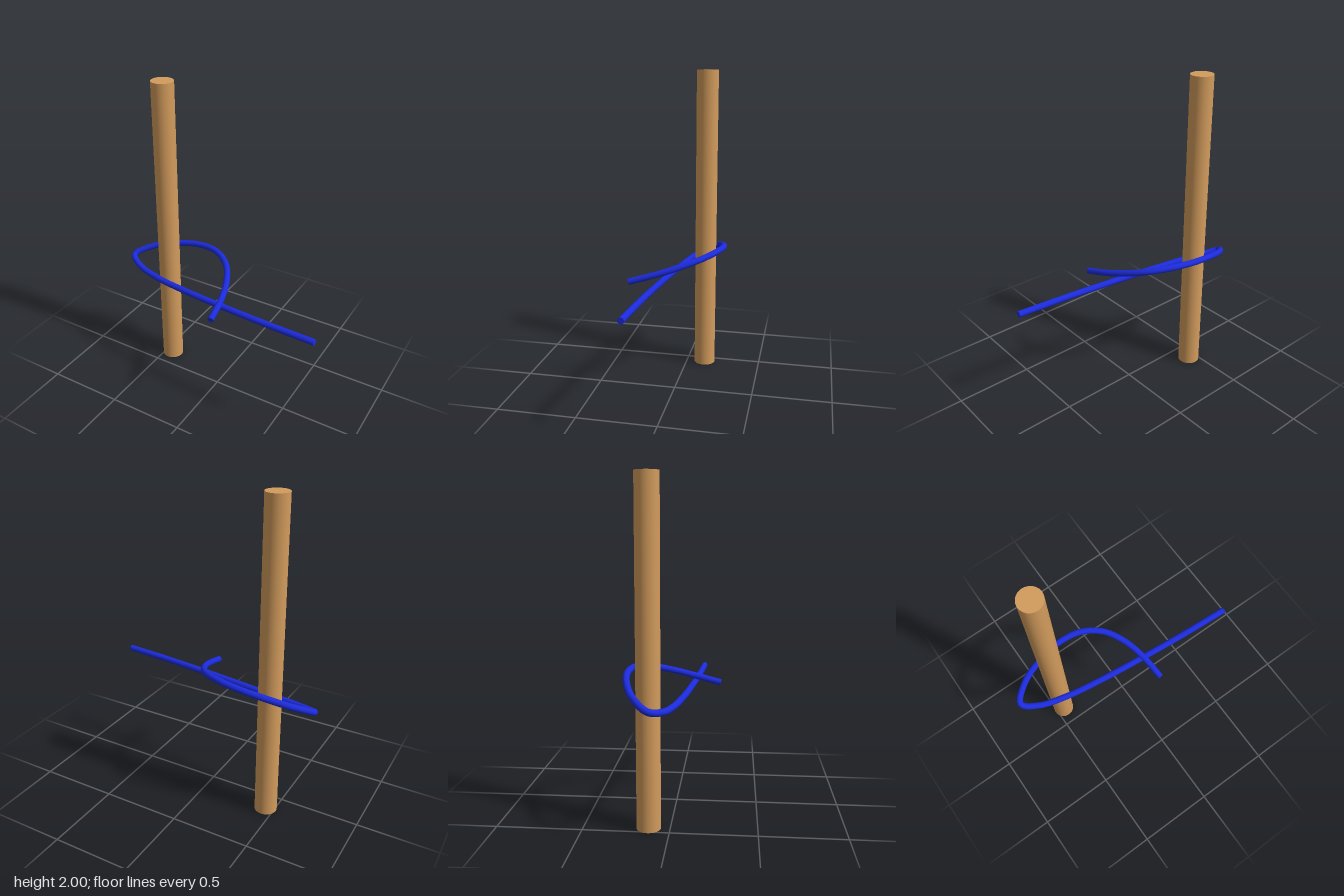
import * as THREE from 'three';

const ROPE_RADIUS = 0.02;

export function createModel() {
  const model = new THREE.Group();
  model.name = 'ropeAroundPole';
  const wood = new THREE.MeshStandardMaterial({ color: 0xd29b5c });
  const blue = new THREE.MeshStandardMaterial({ color: 0x1c2bdc });

  // Upright round pole
  const pole = new THREE.Mesh(new THREE.CylinderGeometry(0.07, 0.07, 2, 48), wood);
  pole.name = 'pole';
  pole.position.set(-0.445, 1, -0.123);
  model.add(pole);

  // Rope: long standing end, round the back of the pole, crossing over to the short end
  const path = new THREE.CatmullRomCurve3([
    [0.73, 0.735, 0.138],
    [0.4, 0.729, 0.117],
    [0.1, 0.723, 0.09],
    [-0.2, 0.717, 0.056],
    [-0.45, 0.717, 0.017],
    [-0.62, 0.729, -0.03],
    [-0.715, 0.758, -0.097],
    [-0.62, 0.807, -0.185],
    [-0.46, 0.85, -0.24],
    [-0.3, 0.877, -0.26],
    [-0.15, 0.885, -0.234],
    [-0.03, 0.867, -0.156],
    [0.05, 0.83, -0.03],
    [0.09, 0.79, 0.1],
    [0.112, 0.742, 0.267],
  ].map((p) => new THREE.Vector3(...p)));

  const rope = new THREE.Group();
  rope.name = 'rope';
  const strand = new THREE.Mesh(new THREE.TubeGeometry(path, 160, ROPE_RADIUS, 20), blue);
  strand.name = 'ropeStrand';
  rope.add(strand);

  // Flat discs closing both cut ends
  for (const [name, t, sign] of [['longEnd', 0, -1], ['shortEnd', 1, 1]]) {
    const cap = new THREE.Mesh(new THREE.CircleGeometry(ROPE_RADIUS, 20), blue);
    cap.name = name;
    cap.position.copy(path.getPointAt(t));
    const outward = path.getTangentAt(t).multiplyScalar(sign);
    cap.quaternion.setFromUnitVectors(new THREE.Vector3(0, 0, 1), outward);
    rope.add(cap);
  }
  model.add(rope);

  return model;
}
